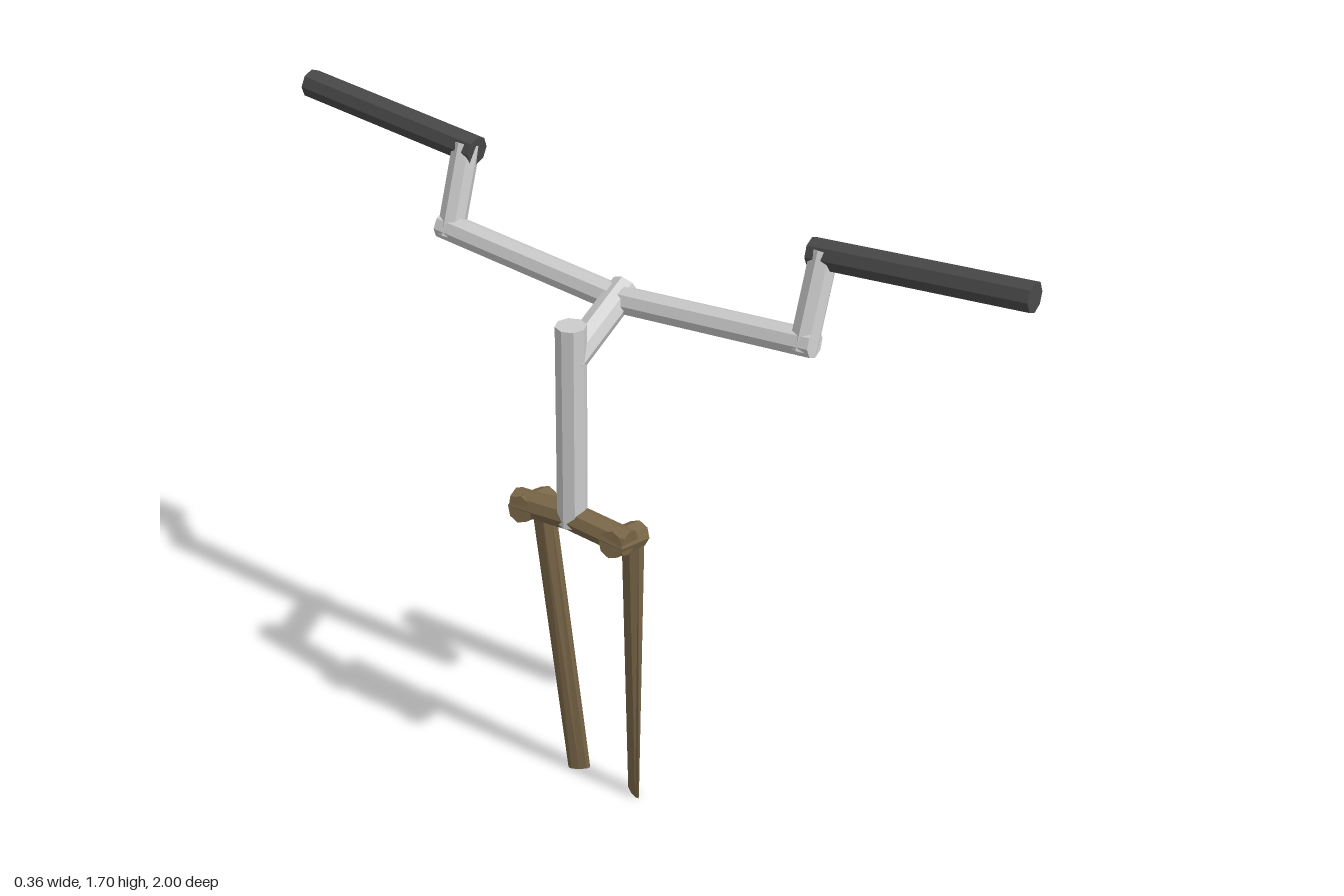
import * as THREE from 'three';

const UP = new THREE.Vector3(0, 1, 0);
const material = (color) => new THREE.MeshStandardMaterial({ color, flatShading: true });

// Eight-sided tube between two points; endFlat squeezes its z thickness towards the far end.
function tube(name, from, to, radius, mat, endFlat = 1) {
  const a = new THREE.Vector3(...from);
  const b = new THREE.Vector3(...to);
  const axis = b.clone().sub(a);
  const length = axis.length();
  const geometry = new THREE.CylinderGeometry(radius, radius, length, 8);
  const p = geometry.attributes.position;
  for (let i = 0; i < p.count; i++) {
    const t = p.getY(i) / length + 0.5;
    p.setZ(i, p.getZ(i) * THREE.MathUtils.lerp(1, endFlat, t));
  }
  geometry.computeVertexNormals();
  const mesh = new THREE.Mesh(geometry, mat);
  mesh.name = name;
  mesh.position.copy(a).add(b).multiplyScalar(0.5);
  mesh.quaternion.setFromUnitVectors(UP, axis.normalize());
  return mesh;
}

export function createModel() {
  const model = new THREE.Group();
  model.name = 'handlebarAndFork';
  const metal = material(0xcccccc);
  const rubber = material(0x484848);
  const brown = material(0x7a6748);

  // Steering column and the stem reaching forward to the bar
  model.add(tube('steeringColumn', [-0.14, 0.88, 0], [-0.14, 1.41, 0], 0.037, metal));
  model.add(tube('stem', [-0.145, 1.32, 0], [0.077, 1.416, 0], 0.037, metal));

  for (const s of [1, -1]) {
    const side = s > 0 ? 'front' : 'back';

    // Handlebar half: lower bar, riser and grip
    const bar = new THREE.Group();
    bar.name = side + 'Handlebar';
    bar.add(
      tube('lowerBar', [0.045, 1.4, 0], [0.055, 1.441, s * 0.525], 0.034, metal),
      tube('riser', [0.05, 1.42, s * 0.498], [0.125, 1.635, s * 0.498], 0.034, metal),
      tube('grip', [0.125, 1.622, s * 0.467], [0.138, 1.664, s * 0.998], 0.036, rubber)
    );

    // Fork half: crown arm, forward lug and tapering leg
    const fork = new THREE.Group();
    fork.name = side + 'Fork';
    fork.add(
      tube('crownArm', [-0.14, 0.895, 0], [-0.14, 0.882, s * 0.165], 0.034, brown),
      tube('crownLug', [-0.173, 0.883, s * 0.134], [-0.06, 0.855, s * 0.134], 0.034, brown),
      tube('forkLeg', [-0.08, 0.87, s * 0.134], [0, 0.003, s * 0.087], 0.029, brown, 0.27)
    );
    model.add(bar, fork);
  }
  return model;
}
